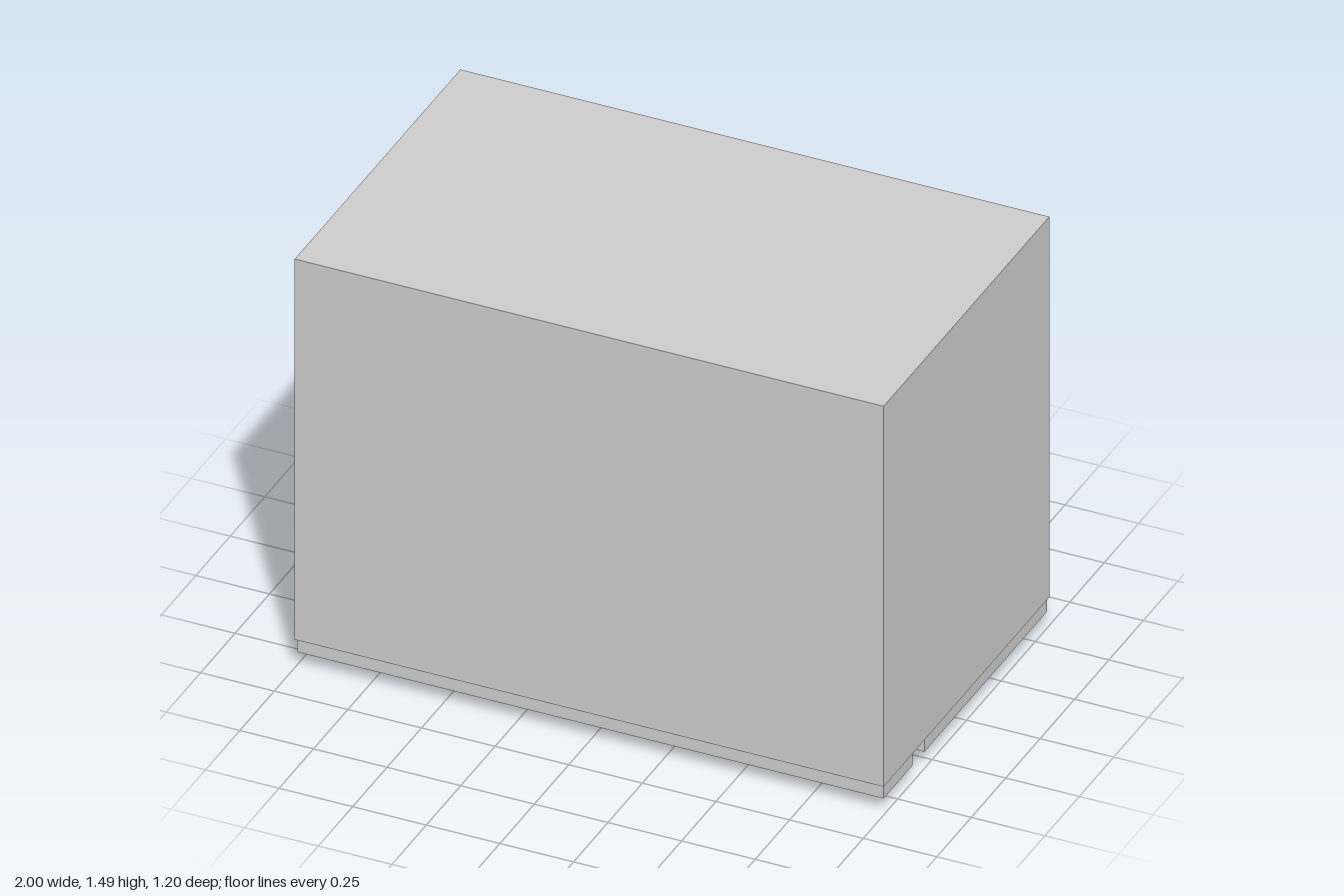
import * as THREE from 'three';

// Built-in oven lying on its face: door and controls point down (-y).
export function createModel() {
  const group = new THREE.Group();
  const mat = new THREE.MeshStandardMaterial({ color: 0xcccccc });

  const add = (name, geometry, x, y, z, parent = group) => {
    const mesh = new THREE.Mesh(geometry, mat);
    mesh.name = name;
    mesh.position.set(x, y, z);
    parent.add(mesh);
    return mesh;
  };
  // Box given by its lower and upper limits on each axis
  const slab = (name, [x0, x1], [y0, y1], [z0, z1], parent) =>
    add(name, new THREE.BoxGeometry(x1 - x0, y1 - y0, z1 - z0),
      (x0 + x1) / 2, (y0 + y1) / 2, (z0 + z1) / 2, parent);

  // Cabinet, door and control panel
  slab('cabinet', [-1, 1], [0.103, 1.488], [-0.602, 0.602]);
  slab('door', [-0.995, 0.995], [0.053, 0.103], [-0.595, 0.295]);
  slab('controlPanel', [-0.995, 0.995], [0.053, 0.103], [0.38, 0.592]);

  // Door window: glass, inner pane and shelf lines in shallow steps
  const door = new THREE.Group();
  door.name = 'doorWindow';
  group.add(door);
  slab('glass', [-0.86, 0.86], [0.05, 0.054], [-0.51, 0.15], door);
  slab('innerPane', [-0.72, 0.72], [0.048, 0.051], [-0.44, 0.08], door);
  for (const z of [-0.34, -0.23, -0.12]) {
    slab('shelfLine', [-0.6, 0.6], [0.0465, 0.049], [z - 0.004, z + 0.004], door);
  }

  // Display and buttons
  slab('display', [-0.22, 0.22], [0.046, 0.055], [0.44, 0.54]);
  for (const x of [-0.38, -0.53, -0.68]) {
    add('button', new THREE.CylinderGeometry(0.022, 0.022, 0.008, 24), x, 0.051, 0.488);
  }

  // Door handle: round bar on two posts
  const bar = add('handleBar', new THREE.CylinderGeometry(0.0125, 0.0125, 1.52, 20), 0, 0.0125, 0.243);
  bar.rotation.z = Math.PI / 2;
  for (const side of [-1, 1]) {
    add('handlePost', new THREE.CylinderGeometry(0.007, 0.007, 0.045, 12), side * 0.74, 0.0355, 0.243);
  }
  return group;
}
